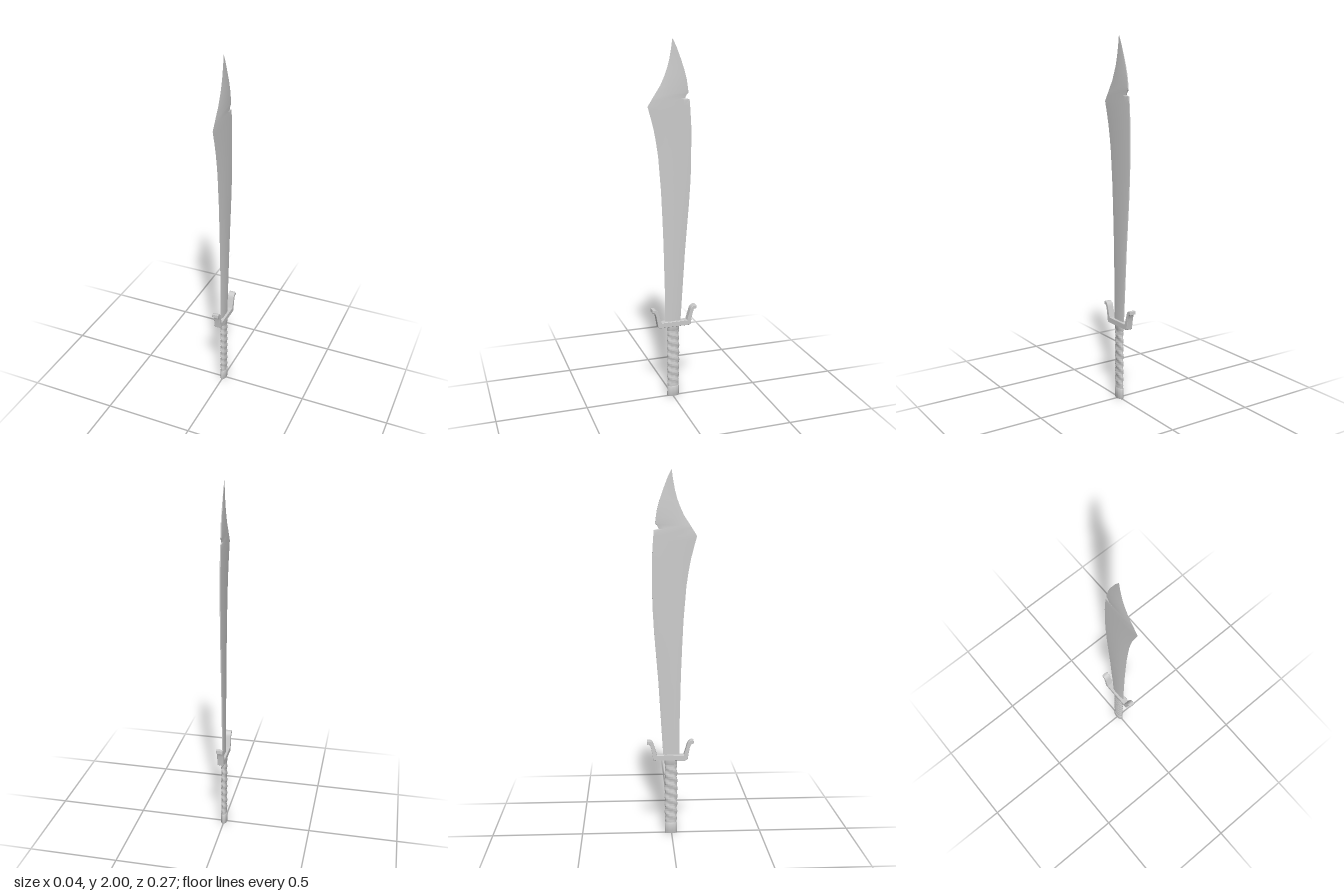
import * as THREE from 'three';
import { toCreasedNormals } from 'three/addons/utils/BufferGeometryUtils.js';

const { lerp, smoothstep } = THREE.MathUtils;

// Skin over a stack of closed rings, each counter-clockwise from above, with end caps
function loft(rings, crease) {
  const n = rings[0].length, index = [];
  for (let i = 0; i < rings.length - 1; i++) {
    for (let j = 0; j < n; j++) {
      const a = i * n + j, b = i * n + (j + 1) % n;
      index.push(a, b, b + n, a, b + n, a + n);
    }
  }
  const top = (rings.length - 1) * n;
  for (let j = 1; j < n - 1; j++) index.push(0, j + 1, j, top, top + j, top + j + 1);
  const geo = new THREE.BufferGeometry();
  geo.setAttribute('position', new THREE.Float32BufferAttribute(rings.flat(2), 3));
  geo.setIndex(index);
  return toCreasedNormals(geo, crease);
}

// Linear lookup of z at height y in a list of [z, y], rising in y
function zAt(edge, y) {
  let i = 1;
  while (i < edge.length - 1 && edge[i][1] < y) i++;
  const [z0, y0] = edge[i - 1], [z1, y1] = edge[i];
  return lerp(z0, z1, (y - y0) / (y1 - y0));
}

// Blade edges as [z, y]: cutting edge at the front, notched spine at the back
const cuttingEdge = [
  [0.044, 0.44], [0.044, 0.6], [0.052, 0.915], [0.058, 1.06], [0.065, 1.205], [0.08, 1.39],
  [0.091, 1.465], [0.103, 1.53], [0.118, 1.59], [0.136, 1.655], [0.098, 1.715], [0.067, 1.762],
  [0.045, 1.81], [0.03, 1.85], [0.018, 1.895], [0.008, 1.95], [0.001, 2],
];
const spine = [
  [-0.045, 0.44], [-0.071, 0.86], [-0.093, 1.13], [-0.101, 1.26], [-0.104, 1.365], [-0.103, 1.55],
  [-0.098, 1.63], [-0.093, 1.687], [-0.068, 1.693], [-0.076, 1.71], [-0.087, 1.72], [-0.083, 1.75],
  [-0.077, 1.79], [-0.064, 1.84], [-0.045, 1.895], [-0.022, 1.955], [0, 2],
];

function bladeGeometry() {
  const heights = [...new Set([...cuttingEdge, ...spine].map((p) => p[1]))].sort((a, b) => a - b);
  const rings = heights.map((y) => {
    const f = zAt(cuttingEdge, y), b = zAt(spine, y), w = f - b;
    const t = 0.0055 * (1 - 0.95 * smoothstep(y, 1.75, 2)), s = t * 0.5;
    const zBevel = f - 0.28 * w, zBack = b + 0.15 * w;
    return [[0, y, f], [t, y, zBevel], [t, y, zBack], [s, y, b],
      [-s, y, b], [-t, y, zBack], [-t, y, zBevel]];
  });
  return loft(rings, 0.35);
}

// Oval ring around the handle axis, with an optional ridge offset by angle
function ovalRing(y, rx, rz, ridge = () => 0, n = 32) {
  return Array.from({ length: n }, (_, j) => {
    const a = (j / n) * Math.PI * 2, d = ridge(a);
    return [(rx + d) * Math.cos(a), y, -0.003 - (rz + d) * Math.sin(a)];
  });
}

// Grip wrapped in two spiral bands
function gripGeometry() {
  const rings = [], steps = 90;
  for (let i = 0; i <= steps; i++) {
    const y = lerp(0.055, 0.435, i / steps);
    const fade = smoothstep(y, 0.06, 0.1) * (1 - smoothstep(y, 0.37, 0.41));
    const swell = 0.003 * Math.sin(Math.PI * i / steps);
    rings.push(ovalRing(y, 0.0145, 0.032 + swell,
      (a) => 0.0022 * fade * Math.sin(2 * a + (y / 0.045) * Math.PI * 2)));
  }
  return loft(rings, 0.9);
}

// Crossguard profile in (z, y), mirrored front to back and extruded across x
function guardGeometry() {
  const outer = new THREE.SplineCurve([
    [0.094, 0.432], [0.1, 0.47], [0.107, 0.503], [0.116, 0.52], [0.128, 0.523],
  ].map((p) => new THREE.Vector2(...p))).getPoints(12);
  const inner = new THREE.SplineCurve([
    [0.127, 0.538], [0.112, 0.538], [0.098, 0.525], [0.088, 0.495], [0.076, 0.455],
  ].map((p) => new THREE.Vector2(...p))).getPoints(12);
  const half = [new THREE.Vector2(0.088, 0.428), ...outer, ...inner];
  const mirrored = half.map((p) => new THREE.Vector2(-p.x, p.y)).reverse();
  const geo = new THREE.ExtrudeGeometry(new THREE.Shape([...half, ...mirrored]), {
    depth: 0.033, bevelEnabled: true, bevelSize: 0.0015, bevelThickness: 0.0015, bevelSegments: 1,
  });
  geo.translate(0, 0, -0.0165).rotateY(-Math.PI / 2).translate(0, 0, -0.0065);
  return toCreasedNormals(geo, 0.6);
}

export function createModel() {
  const group = new THREE.Group();
  const material = new THREE.MeshStandardMaterial({ color: 0xcccccc });
  const add = (name, geometry) => {
    const mesh = new THREE.Mesh(geometry, material);
    mesh.name = name;
    group.add(mesh);
  };

  add('blade', bladeGeometry());
  add('crossguard', guardGeometry());
  add('grip', gripGeometry());

  // Pommel: plain oval cap with eased rims
  add('pommel', loft([
    ovalRing(0, 0.0165, 0.033), ovalRing(0.004, 0.018, 0.035),
    ovalRing(0.056, 0.0175, 0.034), ovalRing(0.061, 0.0155, 0.032),
  ], 0.5));

  // Collar where the grip meets the guard
  add('collar', loft([
    ovalRing(0.4, 0.0145, 0.033), ovalRing(0.404, 0.016, 0.035), ovalRing(0.435, 0.016, 0.035),
  ], 0.5));

  return group;
}
